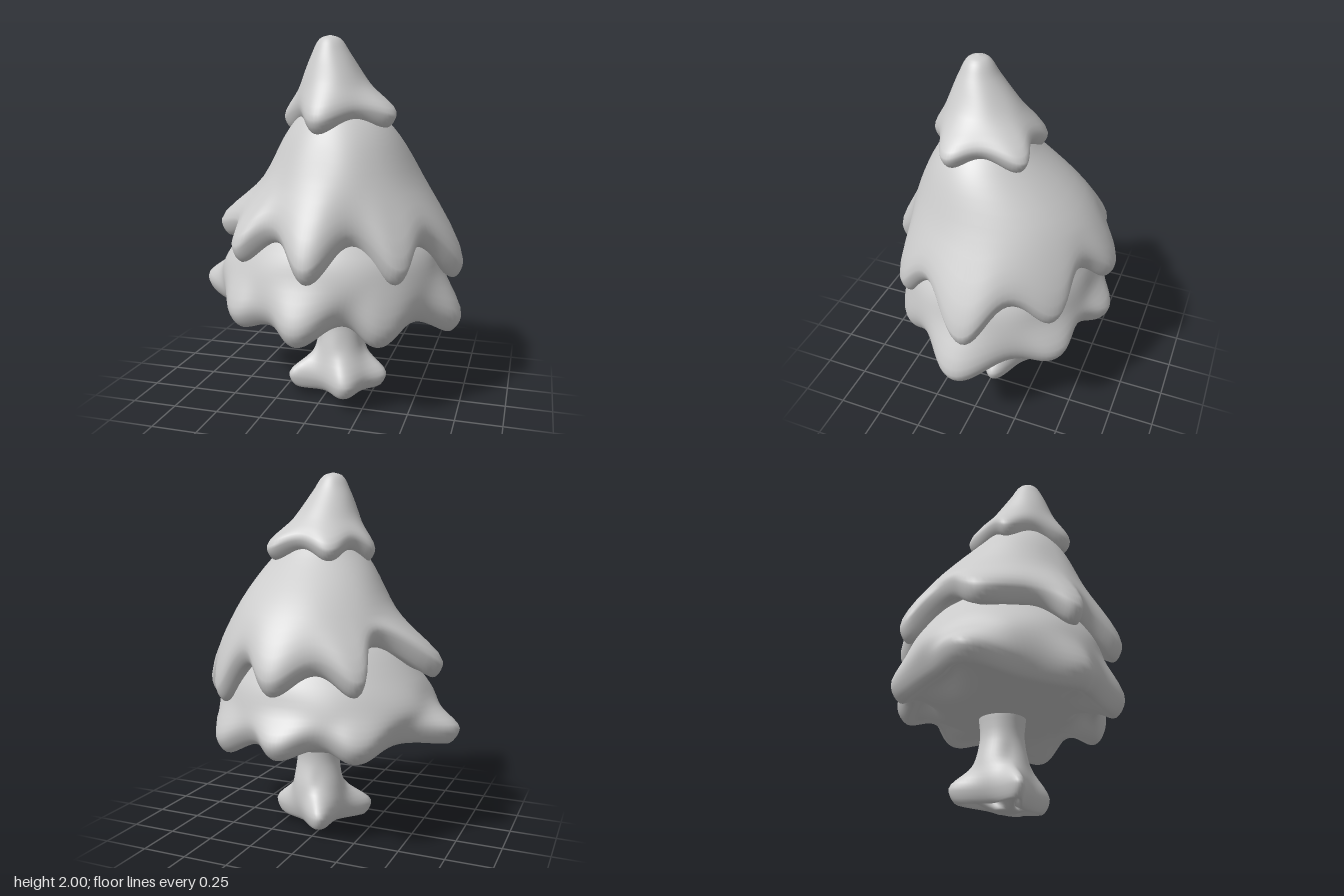
import * as THREE from 'three';

const material = new THREE.MeshStandardMaterial({ color: 0xcccccc });
const V = (x, y, z) => new THREE.Vector3(x, y, z);

// Lofts a soft skirt: elliptical rings [cx, y, cz, rx, rz], then a wavy rim
// (tips and valleys in turn), a rounded lip, and an underside of more rings.
function skirt(name, { rings, rim, lift, inset, under, rows = 40 }) {
  const edge = new THREE.CatmullRomCurve3(rim.map((p) => V(...p)), true, 'catmullrom', 0.6);
  const cols = rim.length * 10;
  const positions = [];
  const index = [];
  const [hubX, , hubZ] = rings[rings.length - 1];

  for (let c = 0; c < cols; c++) {
    const p = edge.getPoint(c / cols);
    const angle = Math.atan2(p.z - hubZ, p.x - hubX);
    const onRing = ([cx, y, cz, rx, rz = rx]) =>
      V(cx + rx * Math.cos(angle), y, cz + rz * Math.sin(angle));
    const inward = V(-Math.cos(angle), 0, -Math.sin(angle));
    const lip = p.clone().addScaledVector(inward, inset);
    const fold = p.clone().addScaledVector(inward, inset * 2.4);
    const outer = p.clone();
    outer.y += lift;
    lip.y -= 0.01;
    fold.y += lift * 0.2;
    const profile = new THREE.CatmullRomCurve3(
      [...rings.map(onRing), outer, lip, fold, ...under.map(onRing)]);
    for (let r = 0; r <= rows; r++) positions.push(...profile.getPoint(r / rows).toArray());
  }

  const stride = rows + 1;
  for (let c = 0; c < cols; c++) {
    for (let r = 0; r < rows; r++) {
      const a = c * stride + r;
      const b = ((c + 1) % cols) * stride + r;
      index.push(a, b, a + 1, b, b + 1, a + 1);
    }
  }
  const geometry = new THREE.BufferGeometry();
  geometry.setAttribute('position', new THREE.Float32BufferAttribute(positions, 3));
  geometry.setIndex(index);
  geometry.computeVertexNormals();
  const mesh = new THREE.Mesh(geometry, material);
  mesh.name = name;
  return mesh;
}

export function createModel() {
  const tree = new THREE.Group();
  tree.name = 'firTree';

  // Leaning cap with five drooping points
  tree.add(skirt('topBranches', {
    rings: [[0.035, 2, 0.13, 0], [0.035, 1.98, 0.13, 0.055], [0.04, 1.9, 0.125, 0.105],
      [0.055, 1.75, 0.095, 0.185, 0.195]],
    rim: [
      [0.39, 1.54, 0.17], [0.22, 1.57, 0.27], [0.02, 1.51, 0.38], [-0.12, 1.57, 0.21],
      [-0.24, 1.52, 0.07], [-0.16, 1.58, -0.05], [-0.08, 1.52, -0.2], [0.1, 1.58, -0.18],
      [0.28, 1.53, -0.2], [0.32, 1.58, 0]],
    lift: 0.06, inset: 0.04,
    under: [[0.06, 1.58, 0.07, 0.12], [0.06, 1.58, 0.07, 0]],
  }));

  // Large middle tier with eight points
  tree.add(skirt('middleBranches', {
    rings: [[0.07, 1.66, 0.07, 0], [0.07, 1.64, 0.07, 0.15], [0.08, 1.52, 0.06, 0.28, 0.27],
      [0.07, 1.25, -0.02, 0.44, 0.475]],
    rim: [
      [0.74, 0.72, -0.03], [0.57, 0.93, 0.22], [0.48, 0.77, 0.43], [0.24, 0.95, 0.46],
      [0.04, 0.79, 0.64], [-0.17, 0.96, 0.48], [-0.38, 0.85, 0.49], [-0.44, 0.95, 0.29],
      [-0.64, 0.91, 0.02], [-0.37, 1.09, -0.24], [-0.37, 0.87, -0.47], [-0.15, 0.97, -0.53],
      [0.06, 0.87, -0.65], [0.26, 1, -0.52], [0.46, 0.78, -0.46], [0.58, 0.91, -0.24]],
    lift: 0.08, inset: 0.045,
    under: [[0.04, 1, 0, 0.28], [0.04, 1, 0, 0]],
  }));

  // Wide bottom tier with eight points and a nearly flat underside
  tree.add(skirt('bottomBranches', {
    rings: [[0.03, 1.14, 0, 0], [0.03, 1.1, 0, 0.34], [0.03, 0.9, 0, 0.55, 0.5],
      [0.01, 0.76, 0, 0.62, 0.55]],
    rim: [
      [0.745, 0.43, 0.02], [0.57, 0.53, 0.25], [0.41, 0.44, 0.46], [0.21, 0.55, 0.51],
      [-0.01, 0.46, 0.64], [-0.2, 0.53, 0.54], [-0.4, 0.5, 0.5], [-0.54, 0.53, 0.25],
      [-0.75, 0.56, 0], [-0.53, 0.59, -0.25], [-0.38, 0.53, -0.5], [-0.17, 0.59, -0.54],
      [0.04, 0.54, -0.64], [0.23, 0.58, -0.53], [0.45, 0.5, -0.48], [0.57, 0.52, -0.25]],
    lift: 0.08, inset: 0.055,
    under: [[0.04, 0.52, -0.02, 0.38, 0.34], [0.05, 0.51, -0.03, 0.15], [0.05, 0.51, -0.03, 0]],
  }));

  // Trunk flaring into four root lobes
  tree.add(skirt('trunk', {
    rings: [[0.055, 0.62, -0.035, 0], [0.055, 0.6, -0.035, 0.12], [0.055, 0.4, -0.035, 0.12],
      [0.05, 0.25, -0.04, 0.145, 0.155]],
    rim: [
      [0.32, 0.045, -0.04], [0.23, 0.03, 0.07], [0.13, 0.015, 0.2], [-0.03, 0.025, 0.13],
      [-0.21, 0.045, 0.13], [-0.11, 0.05, -0.06], [-0.06, 0.06, -0.29], [0.13, 0.045, -0.16]],
    lift: 0.07, inset: 0.04,
    under: [[0.05, 0.015, -0.01, 0.07], [0.05, 0.01, -0.01, 0]],
  }));

  return tree;
}
